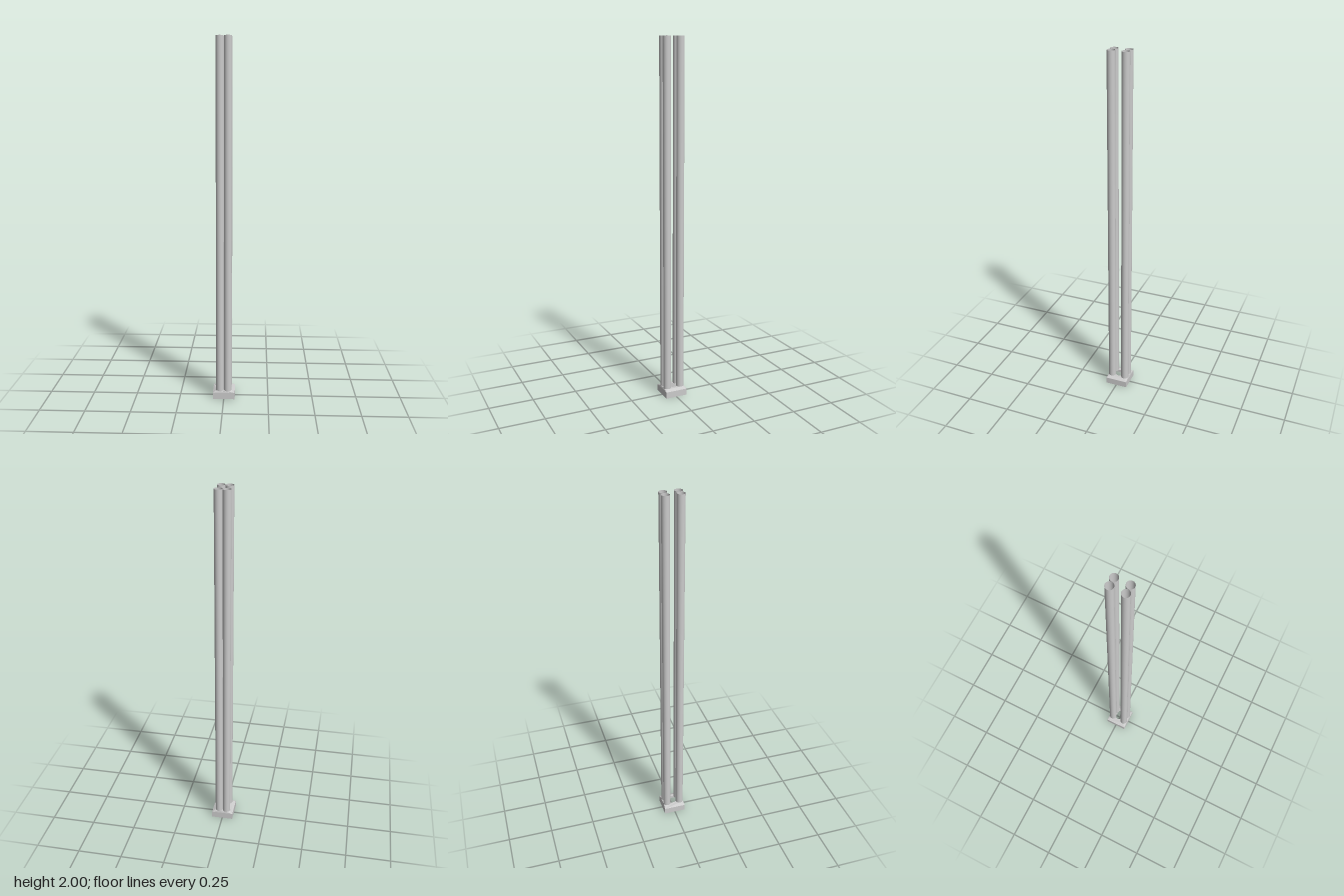
import * as THREE from 'three';

const HALF_X = 0.0615, HALF_Z = 0.063; // plinth footprint
const EDGE_Y = 0.037, CROWN_Y = 0.047; // sloped top of the plinth
const SHAFT_X = 0.022, SHAFT_Z = 0.0393, SHAFT_R = 0.0215;

const material = new THREE.MeshStandardMaterial({ color: 0xcccccc, side: THREE.DoubleSide });
const flatMaterial = new THREE.MeshStandardMaterial({ color: 0xcccccc, side: THREE.DoubleSide, flatShading: true });

// Points along a shaft's circle, angles in degrees from +x towards +z
function arc(cz, from, to, steps = 20) {
  return Array.from({ length: steps + 1 }, (_, i) => {
    const a = THREE.MathUtils.degToRad(from + (to - from) * i / steps);
    return new THREE.Vector2(SHAFT_X + SHAFT_R * Math.cos(a), cz + SHAFT_R * Math.sin(a));
  });
}

// Opening under the shafts: four lobes joined by two bowed sides
function openingOutline() {
  const front = arc(SHAFT_Z, 180, -98);
  const back = arc(-SHAFT_Z, 84, -180);
  const bow = new THREE.QuadraticBezierCurve(
    front.at(-1), new THREE.Vector2(0.0355, 0), back[0]).getPoints(8).slice(1, -1);
  const half = [...front, ...bow, ...back];
  const mirrored = half.map(p => new THREE.Vector2(-p.x, p.y)).reverse();
  return [...half, ...mirrored];
}

// Lays a flat (x, z) shape down so that it faces up
const toPlan = points => points.map(p => new THREE.Vector2(p.x, -p.y));

function addMesh(group, name, geometry, mat = material) {
  const mesh = new THREE.Mesh(geometry, mat);
  mesh.name = name;
  group.add(mesh);
  return mesh;
}

function createPlinth() {
  const plinth = new THREE.Group();
  plinth.name = 'plinth';

  // Four walls, open below
  const walls = new THREE.CylinderGeometry(Math.SQRT2, Math.SQRT2, EDGE_Y, 4, 1, true);
  walls.rotateY(Math.PI / 4).scale(HALF_X, 1, HALF_Z).translate(0, EDGE_Y / 2, 0);
  addMesh(plinth, 'plinthWalls', walls, flatMaterial);

  // Top rising from the wall edge to the shafts
  const corners = [[-1, -1], [-1, 1], [1, 1], [1, -1]]
    .map(([x, z]) => new THREE.Vector2(x * HALF_X, z * HALF_Z));
  const shape = new THREE.Shape(toPlan(corners));
  shape.holes.push(new THREE.Path(toPlan(openingOutline())));
  const top = new THREE.ShapeGeometry(shape).rotateX(-Math.PI / 2);
  const pos = top.attributes.position;
  for (let i = 0; i < pos.count; i++) {
    const onEdge = Math.abs(pos.getX(i)) > HALF_X - 1e-4 && Math.abs(pos.getZ(i)) > HALF_Z - 1e-4;
    pos.setY(i, onEdge ? EDGE_Y : CROWN_Y);
  }
  top.computeVertexNormals();
  addMesh(plinth, 'plinthTop', top, flatMaterial);

  // Small web between the back shafts
  const web = [[0, -0.036], [-0.0065, -0.025], [0, -0.0185], [0.0065, -0.025]]
    .map(([x, z]) => new THREE.Vector2(x, z));
  const webGeometry = new THREE.ShapeGeometry(new THREE.Shape(toPlan(web)));
  webGeometry.rotateX(-Math.PI / 2).translate(0, CROWN_Y, 0);
  addMesh(plinth, 'backWeb', webGeometry, flatMaterial);
  return plinth;
}

export function createModel() {
  const model = new THREE.Group();
  model.name = 'clusteredColumn';
  model.add(createPlinth());

  // Four slender hollow shafts
  const height = 2 - CROWN_Y;
  const shaft = new THREE.CylinderGeometry(SHAFT_R, SHAFT_R, height, 32, 1, true);
  for (const [zName, sz] of [['front', 1], ['back', -1]]) {
    for (const [xName, sx] of [['Left', 1], ['Right', -1]]) {
      addMesh(model, `${zName}${xName}Shaft`, shaft)
        .position.set(sx * SHAFT_X, CROWN_Y + height / 2, sz * SHAFT_Z);
    }
  }
  return model;
}
